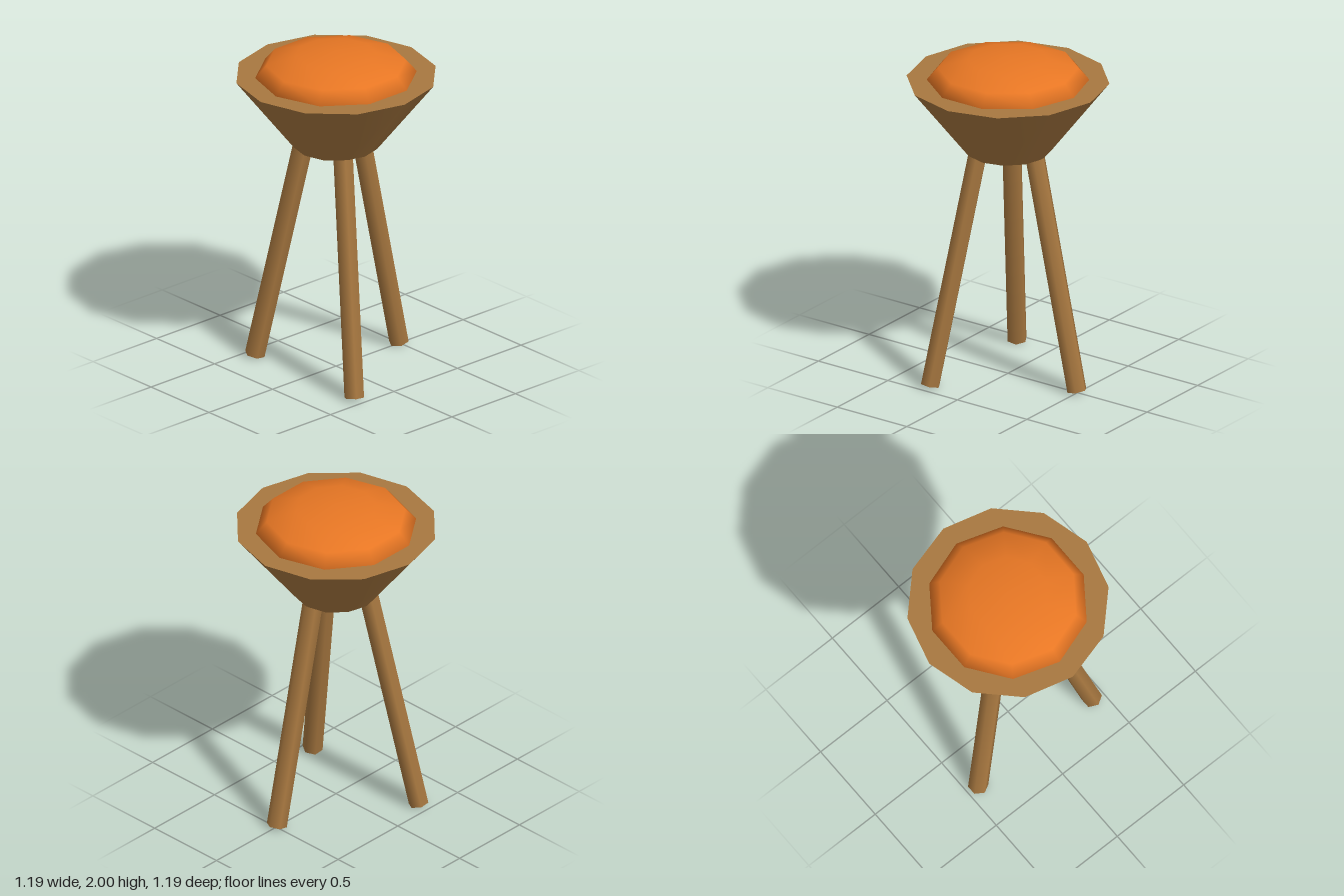
import * as THREE from 'three';

export function createModel() {
  const model = new THREE.Group();
  const wood = new THREE.MeshStandardMaterial({ name: 'wood', color: 0xa87840 });
  const fabric = new THREE.MeshStandardMaterial({ name: 'orangeFabric', color: 0xe87724 });

  const add = (parent, name, geometry, material) => {
    const mesh = new THREE.Mesh(geometry, material);
    mesh.name = name;
    parent.add(mesh);
    return mesh;
  };

  // Tapered twelve-sided seat
  add(model, 'seat', new THREE.CylinderGeometry(0.593, 0.25, 0.44, 12), wood).position.y = 1.63;

  // Ten-sided domed cushion set into the seat, a corner facing the front
  const dome = new THREE.SphereGeometry(0.473, 10, 3, 0, Math.PI * 2, 0, Math.PI / 2);
  dome.scale(1, 0.15 / 0.473, 1).rotateY(Math.PI / 2);
  add(model, 'cushion', dome, fabric).position.y = 1.85;

  // Three splayed hexagonal legs: two at the front, one at the back
  const tilt = 0.212;
  const legGeometry = new THREE.CylinderGeometry(0.06, 0.06, 1.47, 6);
  legGeometry.translate(0, 0.735, 0);
  const legs = [['leftFrontLeg', Math.PI / 3], ['rightFrontLeg', -Math.PI / 3], ['backLeg', Math.PI]];
  for (const [name, angle] of legs) {
    const pivot = new THREE.Group();
    pivot.name = name + 'Pivot';
    pivot.rotation.y = angle;
    const leg = add(pivot, name, legGeometry, wood);
    leg.position.set(0, 0.013, 0.495);
    leg.rotation.x = -tilt;
    model.add(pivot);
  }

  return model;
}
